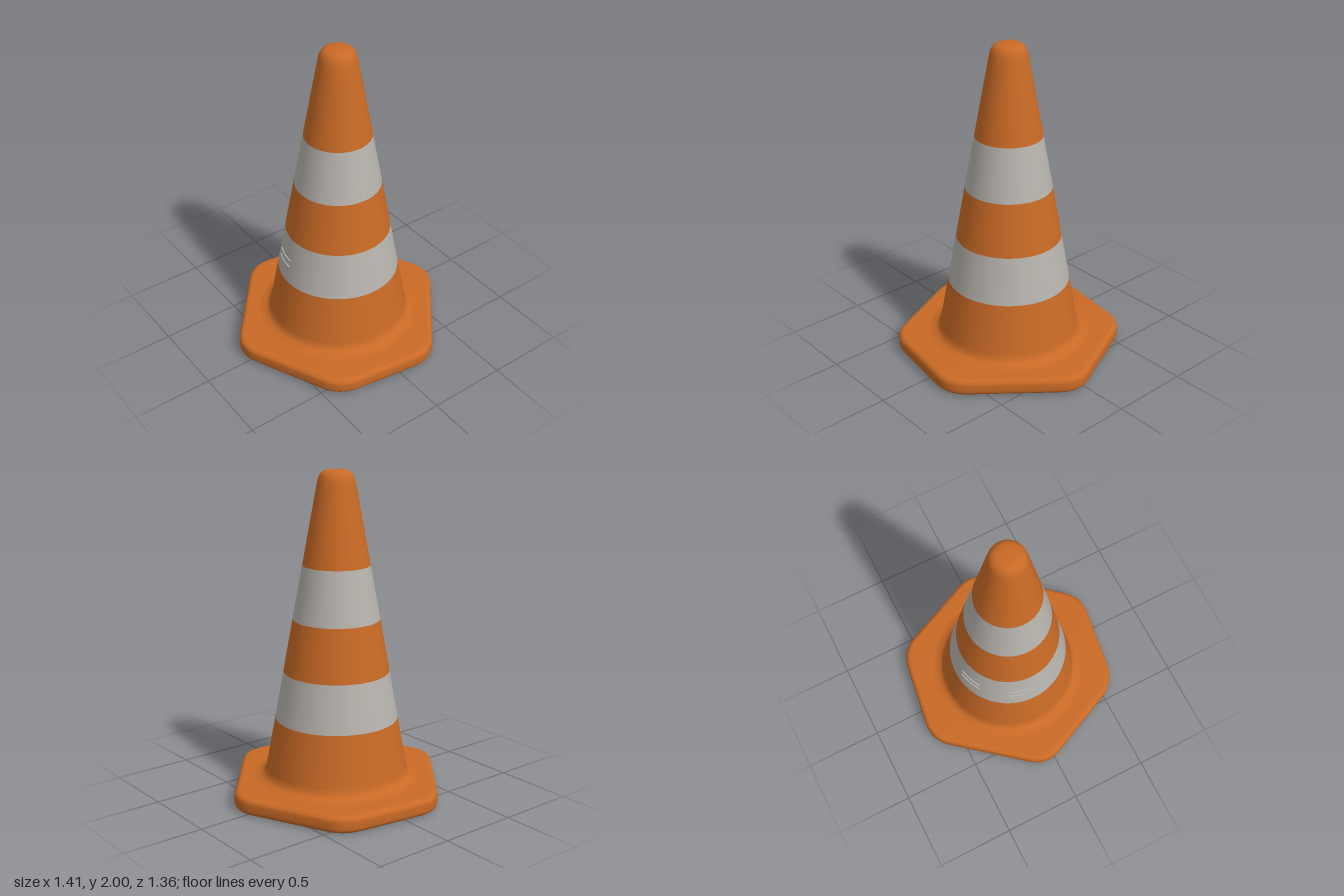
import * as THREE from 'three';
import { toCreasedNormals } from 'three/addons/utils/BufferGeometryUtils.js';

const orange = new THREE.MeshStandardMaterial({ color: 0xc96a26 });
orange.name = 'orange rubber';
const grey = new THREE.MeshStandardMaterial({ color: 0xb7b3ad });
grey.name = 'pale grey band';

const deg = THREE.MathUtils.degToRad;

function add(group, name, geometry, material) {
  const mesh = new THREE.Mesh(geometry, material);
  mesh.name = name;
  group.add(mesh);
  return mesh;
}

// Surface of revolution from [radius, height] pairs, listed bottom to top
function turned(profile, start = 0, sweep = 360, segments = 64) {
  const points = profile.map(([r, y]) => new THREE.Vector2(r, y));
  return new THREE.LatheGeometry(points, segments, deg(start), deg(sweep));
}

// Slightly skewed hexagonal foot with rounded corners and soft rims
function footGeometry() {
  const half = [[0.735, 0.074], [0.225, 0.697], [-0.43, 0.6]];
  const corners = [...half, ...half.map(([x, z]) => [-x, -z])]
    .map(([x, z]) => new THREE.Vector2(x, -z));
  const cut = 0.13;
  const shape = new THREE.Shape();
  corners.forEach((corner, i) => {
    const toward = (other) => corner.clone().add(other.clone().sub(corner).setLength(cut));
    const a = toward(corners[(i + 5) % 6]);
    const b = toward(corners[(i + 1) % 6]);
    if (i === 0) shape.moveTo(a.x, a.y);
    else shape.lineTo(a.x, a.y);
    shape.quadraticCurveTo(corner.x, corner.y, b.x, b.y);
  });
  shape.closePath();
  const rim = 0.032, height = 0.104;
  const geometry = new THREE.ExtrudeGeometry(shape, {
    depth: height - 2 * rim, bevelThickness: rim, bevelSize: rim, bevelOffset: -rim,
    bevelSegments: 5, curveSegments: 10,
  });
  geometry.rotateX(-Math.PI / 2).translate(0, rim, 0);
  return toCreasedNormals(geometry, deg(40));
}

export function createModel() {
  const cone = new THREE.Group();
  cone.name = 'trafficCone';

  add(cone, 'foot', footGeometry(), orange);

  // Tapered body, split where the colour changes
  add(cone, 'lowerBody', turned([
    [0.53, 0.1], [0.49, 0.108], [0.462, 0.12], [0.445, 0.138], [0.436, 0.17], [0.38, 0.48],
  ]), orange);
  add(cone, 'lowerBand', turned([[0.38, 0.48], [0.326, 0.775]]), grey);
  add(cone, 'middleBody', turned([[0.326, 0.775], [0.267, 1.102]]), orange);
  add(cone, 'upperBand', turned([[0.267, 1.102], [0.206, 1.433]]), grey);
  add(cone, 'tip', turned([
    [0.206, 1.433], [0.12, 1.9], [0.113, 1.935], [0.104, 1.965], [0.09, 1.985],
    [0.07, 1.997], [0.045, 2.0], [0, 2.0],
  ]), orange);

  // Pairs of small raised ribs on the back of the lower band
  const bandRadius = (y) => 0.38 - (y - 0.48) * 0.183;
  for (const start of [189, 244]) {
    for (const y of [0.565, 0.61]) {
      const top = y + 0.026;
      const rib = turned([
        [bandRadius(y) - 0.004, y], [bandRadius(y) + 0.006, y],
        [bandRadius(top) + 0.006, top], [bandRadius(top) - 0.004, top],
      ], start, 24, 10);
      add(cone, 'bandRib', toCreasedNormals(rib, deg(30)), grey);
    }
  }
  return cone;
}
